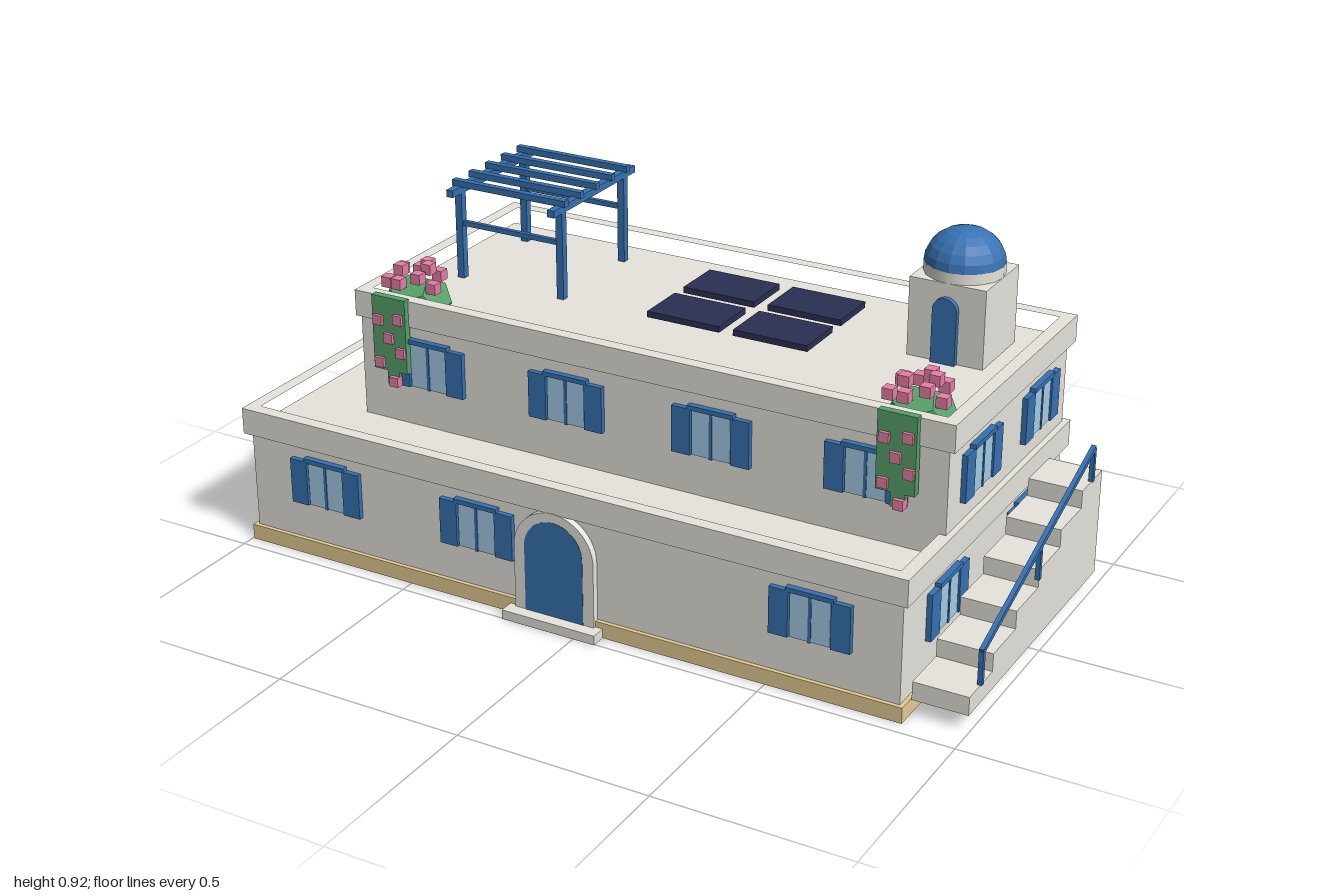
import * as THREE from 'three';

const mat = (name, color, extra = {}) => Object.assign(new THREE.MeshStandardMaterial({ color, ...extra }), { name });

export function createModel() {
  const model = new THREE.Group();
  model.name = 'villa';
  const white = mat('white stucco', 0xf0ede5);
  const blue = mat('blue paint', 0x3672b2);
  const domeBlue = mat('dome blue', 0x3874b4, { flatShading: true });
  const glass = mat('window glass', 0xa6d0ea);
  const sand = mat('sand stone', 0xe5cc94);
  const navy = mat('solar navy', 0x2b3052);
  const green = mat('leaf green', 0x56a269, { flatShading: true });
  const pink = mat('flower pink', 0xe580a6);

  const add = (name, geo, material, parent = model) => {
    const mesh = new THREE.Mesh(geo, material);
    mesh.name = name;
    parent.add(mesh);
    return mesh;
  };
  // Box given by its lower and upper bounds on each axis
  const box = (name, m, x0, x1, y0, y1, z0, z1, parent = model) => {
    const mesh = add(name, new THREE.BoxGeometry(x1 - x0, y1 - y0, z1 - z0), m, parent);
    mesh.position.set((x0 + x1) / 2, (y0 + y1) / 2, (z0 + z1) / 2);
    return mesh;
  };
  const group = (name, x, y, z, turn = 0) => {
    const g = new THREE.Group();
    g.name = name;
    g.position.set(x, y, z);
    g.rotation.y = turn;
    model.add(g);
    return g;
  };
  const extrude = (shape, depth) =>
    new THREE.ExtrudeGeometry(shape, { depth, bevelEnabled: false, curveSegments: 12 });

  // Plinth and the two storeys; their tops are the terrace and roof decks
  const terrace = 0.317, roof = 0.604;
  box('plinth', sand, -0.996, 0.852, 0, 0.041, -0.497, 0.463);
  box('groundFloor', white, -0.984, 0.841, 0.041, terrace, -0.486, 0.452);
  box('upperFloor', white, -0.785, 0.841, terrace, roof, -0.486, 0.231);

  // Parapet rims around the terrace and the roof
  const rect = (Type, x0, x1, z0, z1) => new Type([[x0, z0], [x1, z0], [x1, z1], [x0, z1]]
    .map(([x, z]) => new THREE.Vector2(x, -z)));
  const parapet = (name, x0, x1, z0, z1, y, t = 0.034) => {
    const shape = rect(THREE.Shape, x0, x1, z0, z1);
    shape.holes.push(rect(THREE.Path, x0 + t, x1 - t, z0 + t, z1 - t));
    const mesh = add(name, extrude(shape, 0.07), white);
    mesh.rotation.x = -Math.PI / 2;
    mesh.position.y = y;
  };
  parapet('terraceParapet', -1, 0.857, -0.502, 0.468, 0.303);
  parapet('roofParapet', -0.796, 0.857, -0.502, 0.24, 0.588);

  // Shuttered windows; local +z points out of the wall, y is the sill
  const windowAt = (x, y, z, turn) => {
    const g = group('window', x, y, z, turn);
    box('windowFrame', blue, -0.054, 0.054, 0, 0.12, -0.005, 0.006, g);
    box('lintel', blue, -0.062, 0.062, 0.12, 0.132, -0.005, 0.016, g);
    box('mullion', blue, -0.004, 0.004, 0, 0.12, 0, 0.012, g);
    for (const s of [-1, 1]) {
      box('pane', glass, s * 0.028 - 0.024, s * 0.028 + 0.024, 0.002, 0.118, 0.004, 0.01, g);
      box('shutter', blue, s * 0.08 - 0.025, s * 0.08 + 0.025, 0, 0.122, -0.005, 0.014, g);
    }
  };
  const lower = 0.143, upper = 0.425;
  for (const x of [-0.753, -0.298, 0.157, 0.613]) {
    if (x !== 0.157) windowAt(x, lower, 0.452, 0);
    windowAt(x, lower, -0.486, Math.PI);
  }
  for (const x of [-0.579, -0.173, 0.232, 0.638]) {
    windowAt(x, upper, 0.231, 0);
    windowAt(x, upper, -0.486, Math.PI);
  }
  for (const z of [0.218, -0.25]) {
    windowAt(0.841, lower, z, Math.PI / 2);
    windowAt(-0.984, lower, z, -Math.PI / 2);
  }
  for (const z of [0.052, -0.308]) {
    windowAt(0.841, upper, z, Math.PI / 2);
    windowAt(-0.785, upper, z, -Math.PI / 2);
  }

  // Arched doors
  const arch = (Type, r, h) => {
    const s = new Type();
    s.moveTo(-r, 0);
    s.lineTo(r, 0);
    s.lineTo(r, h - r);
    s.absarc(0, h - r, r, 0, Math.PI, false);
    s.lineTo(-r, 0);
    return s;
  };
  const entrance = group('entrance', -0.072, 0.025, 0.448);
  const surround = arch(THREE.Shape, 0.112, 0.28);
  surround.holes.push(arch(THREE.Path, 0.082, 0.256));
  add('doorSurround', extrude(surround, 0.022), white, entrance);
  add('frontDoor', extrude(arch(THREE.Shape, 0.082, 0.256), 0.023), blue, entrance);
  box('doorStep', white, -0.203, 0.06, 0, 0.025, 0.44, 0.503);

  // Outside stair with handrail
  for (let i = 0; i < 6; i++) {
    const z = 0.419 - i * 0.131;
    box('stairStep', white, 0.855, 0.996, 0.041, 0.089 + i * 0.0467, z - 0.131, z);
  }
  const railPosts = [[0.353, 0.089, 0.176], [0.027, 0.205, 0.293], [-0.299, 0.322, 0.41]];
  for (const [z, y0, y1] of railPosts) box('railPost', blue, 0.988, 1, y0, y1, z - 0.006, z + 0.006);
  const rail = add('handrail', new THREE.BoxGeometry(0.012, 0.013, 0.7), blue);
  rail.position.set(0.994, 0.294, 0.027);
  rail.rotation.x = Math.atan2(0.234, 0.652);

  // Domed roof tower
  box('tower', white, 0.54, 0.74, roof, 0.808, -0.387, -0.187);
  const drum = add('domeDrum', new THREE.CylinderGeometry(0.1, 0.1, 0.027, 16), white);
  drum.position.set(0.64, 0.8215, -0.287);
  const dome = add('dome', new THREE.SphereGeometry(0.1, 16, 6, 0, Math.PI * 2, 0, Math.PI / 2), domeBlue);
  dome.scale.y = 0.86;
  dome.position.set(0.64, 0.834, -0.287);
  const towerDoor = add('towerDoor', extrude(arch(THREE.Shape, 0.032, 0.17), 0.014), blue);
  towerDoor.position.set(0.64, roof, -0.187);

  // Solar panels
  for (const x of [-0.07, 0.17]) for (const z of [-0.303, -0.12])
    box('solarPanel', navy, x, x + 0.202, 0.651, 0.667, z, z + 0.138);

  // Pergola
  for (const x of [-0.685, -0.38]) {
    for (const z of [-0.083, -0.389]) box('pergolaPost', blue, x - 0.01, x + 0.01, roof, 0.84, z - 0.01, z + 0.01);
    box('pergolaBeam', blue, x - 0.01, x + 0.01, 0.838, 0.857, -0.437, -0.035);
  }
  for (const z of [-0.083, -0.389]) box('pergolaTie', blue, -0.685, -0.38, 0.749, 0.762, z - 0.006, z + 0.006);
  for (let i = 0; i < 5; i++) {
    const z = -0.083 - i * 0.0765;
    box('pergolaSlat', blue, -0.703, -0.362, 0.855, 0.872, z - 0.009, z + 0.009);
  }

  // Flowering bushes with a trailing vine over the roof edge
  const blossom = (x, y, z, s, g) => box('blossom', pink, x - s, x + s, y - s, y + s, z - s, z + s, g);
  for (const x of [-0.683, 0.72]) {
    const g = group('floweringBush', x, 0, 0);
    const bush = add('bush', new THREE.DodecahedronGeometry(0.088), green, g);
    bush.scale.y = 0.8;
    bush.position.set(0, 0.61, 0.125);
    for (let i = 0; i < 10; i++) {
      const a = i * 2.4, r = 0.036 + 0.0042 * i;
      blossom(Math.cos(a) * r, 0.706 - i * 0.005, 0.125 + Math.sin(a) * r, 0.014, g);
    }
    box('vine', green, -0.05, 0.05, 0.464, 0.664, 0.236, 0.256, g);
    box('vineTip', green, -0.012, 0.024, 0.426, 0.464, 0.236, 0.254, g);
    [[0.012, 0.438], [-0.03, 0.485], [0.035, 0.52], [0, 0.555], [-0.03, 0.6], [0.03, 0.61]]
      .forEach(([bx, by]) => blossom(bx, by, 0.252, 0.013, g));
  }
  return model;
}
